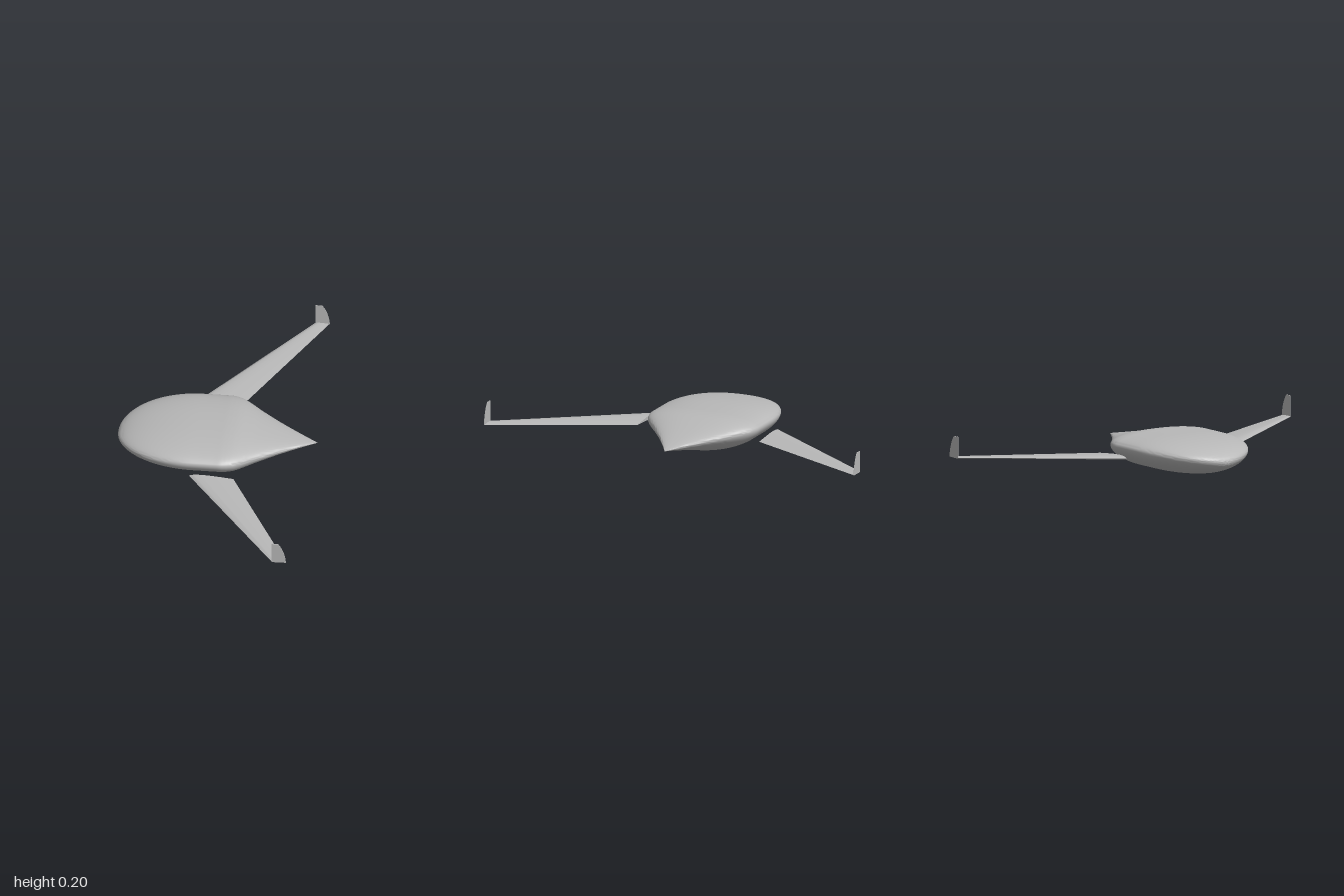
import * as THREE from 'three';
import { toCreasedNormals } from 'three/addons/utils/BufferGeometryUtils.js';

// Skin over a row of closed rings, with optional fan caps at both ends
function loft(rings, capped, crease) {
  const n = rings[0].length, last = (rings.length - 1) * n, index = [];
  for (let i = 0; i < rings.length - 1; i++) {
    for (let j = 0; j < n; j++) {
      const a = i * n + j, b = i * n + (j + 1) % n;
      index.push(a, a + n, b, b, a + n, b + n);
    }
  }
  if (capped) {
    for (let j = 1; j < n - 1; j++) {
      index.push(0, j, j + 1, last, last + j + 1, last + j);
    }
  }
  const geometry = new THREE.BufferGeometry();
  geometry.setAttribute('position', new THREE.Float32BufferAttribute(rings.flat(2), 3));
  geometry.setIndex(index);
  return toCreasedNormals(geometry, crease);
}

// Body: elliptical nose, short parallel middle, concave pointed tail
function bodyGeometry() {
  const stations = [];
  for (let i = 0; i <= 28; i++) {
    const a = (i / 28) * Math.PI / 2;
    stations.push([-0.1 - 0.39 * Math.cos(a), Math.sin(a)]);
  }
  const tail = new THREE.CatmullRomCurve3([
    [-0.1, 1], [0, 1], [0.05, 0.995], [0.1, 0.94], [0.15, 0.815],
    [0.2, 0.675], [0.3, 0.42], [0.4, 0.19], [0.488, 0],
  ].map(([x, k]) => new THREE.Vector3(x, k, 0)), false, 'catmullrom');
  for (let i = 1; i <= 40; i++) {
    const p = tail.getPoint(i / 40);
    stations.push([p.x, p.y]);
  }

  const rings = stations.map(([x, k]) => {
    const axis = 0.095 + 0.007 * THREE.MathUtils.smoothstep(x, 0.1, 0.488);
    const ring = [];
    for (let j = 0; j < 64; j++) {
      const a = (j / 64) * Math.PI * 2, c = Math.cos(a), s = Math.sin(a);
      // Flatter deck above the widest line, fuller V-shaped hull below
      const e = 2 / (s >= 0 ? 2.3 : 1.75);
      const z = 0.294 * Math.sign(c) * Math.abs(c) ** e;
      const y = 0.033 + (s >= 0 ? 0.059 : -0.126) * Math.abs(s) ** e;
      ring.push([x, axis + k * y, k * z]);
    }
    return ring;
  });
  return loft(rings, false, 1.0);
}

// Wing: thin cambered section, swept back and tapered
const AIRFOIL = [
  [0, 0.5], [0.03, 0.72], [0.1, 0.9], [0.25, 1], [0.45, 0.92], [0.7, 0.7], [1, 0.38],
  [0.97, 0.33], [0.7, 0.2], [0.45, 0.06], [0.25, 0], [0.1, 0.1], [0.03, 0.28],
];
function wingGeometry(side) {
  const section = (x0, x1, y0, y1, z) =>
    AIRFOIL.map(([u, v]) => [x0 + (x1 - x0) * u, y0 + (y1 - y0) * v, z * side]);
  const rings = [
    section(-0.107, 0.11, 0.084, 0.105, 0.33),
    section(0.37, 0.44, 0.094, 0.1, 1),
  ];
  return loft(side > 0 ? rings : rings.reverse(), true, 0.7);
}

// Winglet: upright plate with a curved trailing edge
function wingletGeometry() {
  const shape = new THREE.Shape();
  shape.moveTo(0.37, 0.095);
  shape.lineTo(0.44, 0.095);
  shape.bezierCurveTo(0.436, 0.14, 0.422, 0.18, 0.402, 0.202);
  shape.lineTo(0.37, 0.202);
  shape.closePath();
  return new THREE.ExtrudeGeometry(shape, { depth: 0.003, bevelEnabled: false, curveSegments: 10 });
}

export function createModel() {
  const model = new THREE.Group();
  model.name = 'flyingWingAircraft';
  const grey = new THREE.MeshStandardMaterial({ color: 0xb8b8b8 });
  grey.name = 'lightGrey';

  const add = (name, geometry) => {
    const mesh = new THREE.Mesh(geometry, grey);
    mesh.name = name;
    model.add(mesh);
    return mesh;
  };

  add('body', bodyGeometry());
  for (const [label, side] of [['front', 1], ['rear', -1]]) {
    add(label + 'Wing', wingGeometry(side));
    add(label + 'Winglet', wingletGeometry()).position.z = side > 0 ? 0.997 : -1;
  }
  return model;
}
